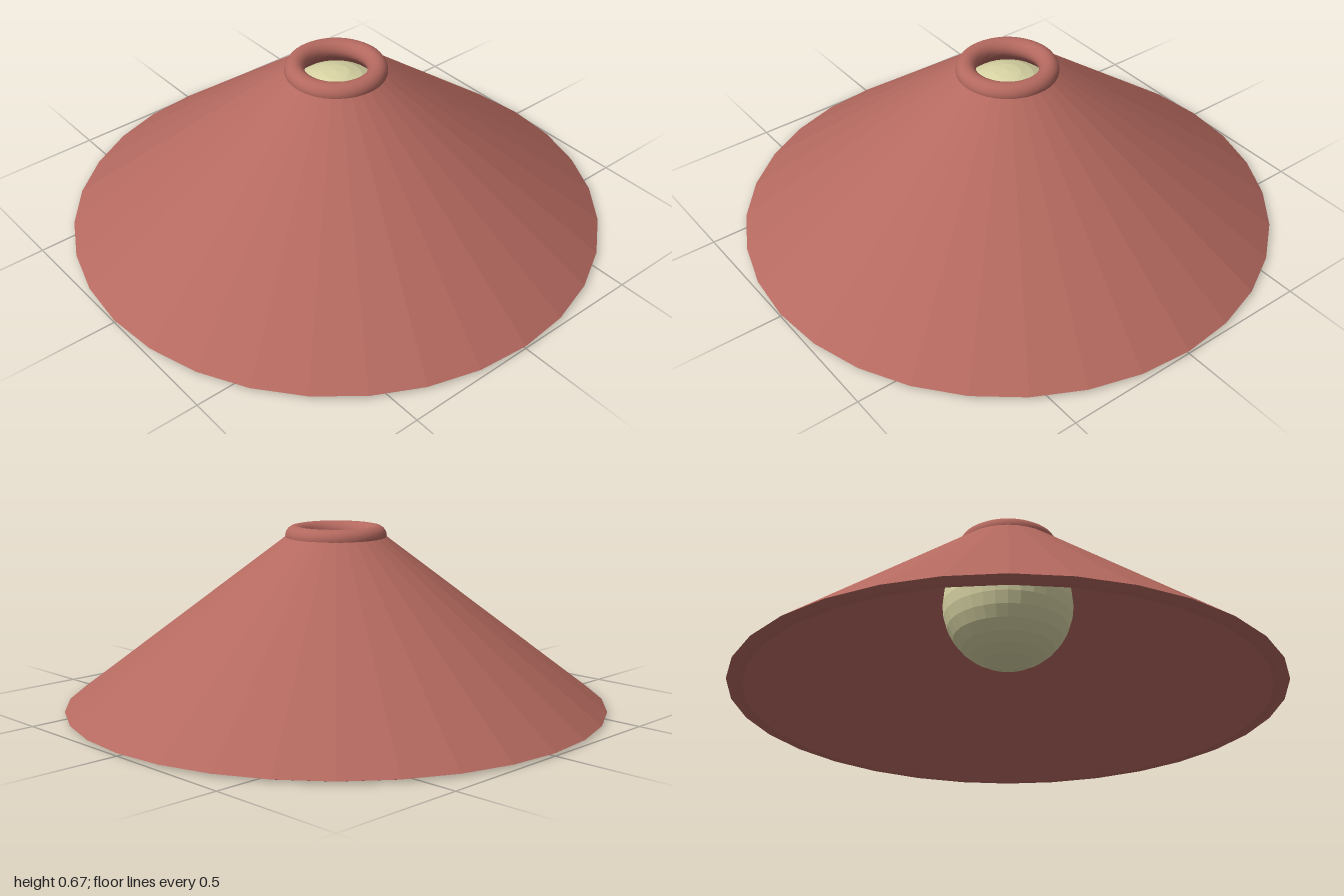
import * as THREE from 'three';

const SIDES = 32;

function addPart(group, name, geometry, material, y = 0) {
  const mesh = new THREE.Mesh(geometry, material);
  mesh.name = name;
  mesh.position.y = y;
  group.add(mesh);
}

export function createModel() {
  const group = new THREE.Group();
  group.name = 'pendantLamp';

  const painted = new THREE.MeshStandardMaterial({ color: 0xb4695f, flatShading: true });
  const paintedSmooth = new THREE.MeshStandardMaterial({ color: 0xb4695f });
  const glass = new THREE.MeshStandardMaterial({ color: 0xd8d4a4, flatShading: true });

  // Faceted conical shade with wall thickness: up the outside, down the inside
  const profile = [
    [1, 0.01], [0.18, 0.63], [0.15, 0.61], [0.945, 0], [0.97, 0], [1, 0.01],
  ].map(([r, y]) => new THREE.Vector2(r, y));
  addPart(group, 'shade', new THREE.LatheGeometry(profile, SIDES), painted);

  // Rounded collar around the top opening
  const collar = new THREE.TorusGeometry(0.15, 0.037, 16, 48).rotateX(Math.PI / 2);
  addPart(group, 'collar', collar, paintedSmooth, 0.63);

  // Round bulb hanging inside the shade
  addPart(group, 'bulb', new THREE.SphereGeometry(0.245, SIDES, 16), glass, 0.38);

  return group;
}
